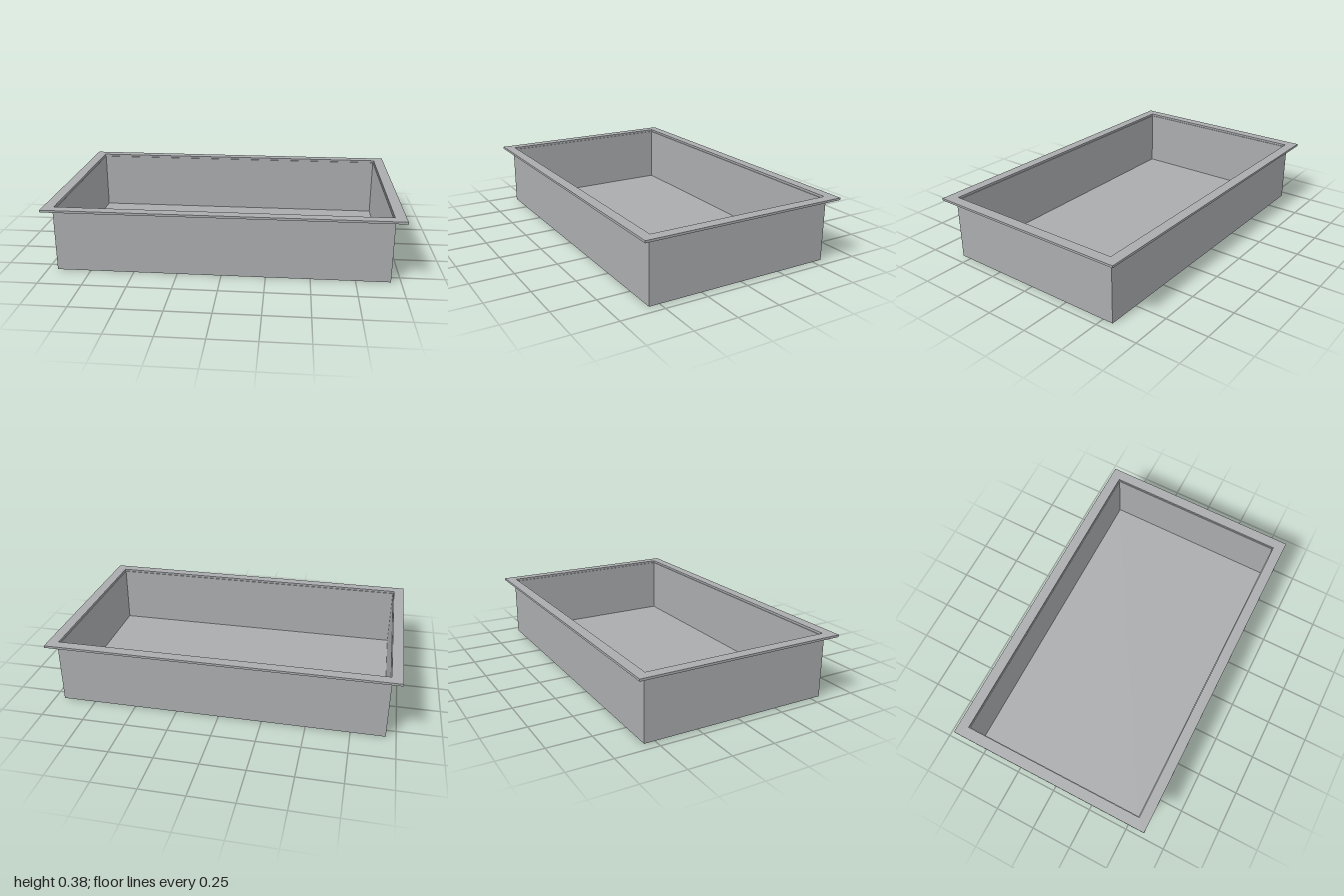
import * as THREE from 'three';

// Closed rectangular outline, given half sizes
function rectangle(Kind, hx, hz) {
  const path = new Kind();
  path.moveTo(-hx, -hz);
  path.lineTo(hx, -hz);
  path.lineTo(hx, hz);
  path.lineTo(-hx, hz);
  path.closePath();
  return path;
}

// Upright rectangular ring from y0 to y1
function frame(name, outer, inner, y0, y1, material) {
  const shape = rectangle(THREE.Shape, ...outer);
  shape.holes.push(rectangle(THREE.Path, ...inner));
  const geometry = new THREE.ExtrudeGeometry(shape, { depth: y1 - y0, bevelEnabled: false });
  geometry.rotateX(-Math.PI / 2);
  geometry.translate(0, y0, 0);
  const mesh = new THREE.Mesh(geometry, material);
  mesh.name = name;
  return mesh;
}

export function createModel() {
  const model = new THREE.Group();
  model.name = 'tray';
  const metal = new THREE.MeshStandardMaterial({ color: 0xaaacae });
  metal.name = 'grey metal';

  const floorTop = 0.012, wallTop = 0.365, rimTop = 0.378;
  const body = [0.944, 0.561];

  // Flat bottom plate
  const floor = new THREE.Mesh(new THREE.BoxGeometry(body[0] * 2, floorTop, body[1] * 2), metal);
  floor.name = 'floor';
  floor.position.y = floorTop / 2;
  model.add(floor);

  // Thin side walls and the overhanging rim, set back to leave a small ledge
  model.add(frame('walls', body, [0.933, 0.547], floorTop, wallTop, metal));
  model.add(frame('rim', [1, 0.613], [0.938, 0.552], wallTop, rimTop, metal));
  return model;
}
